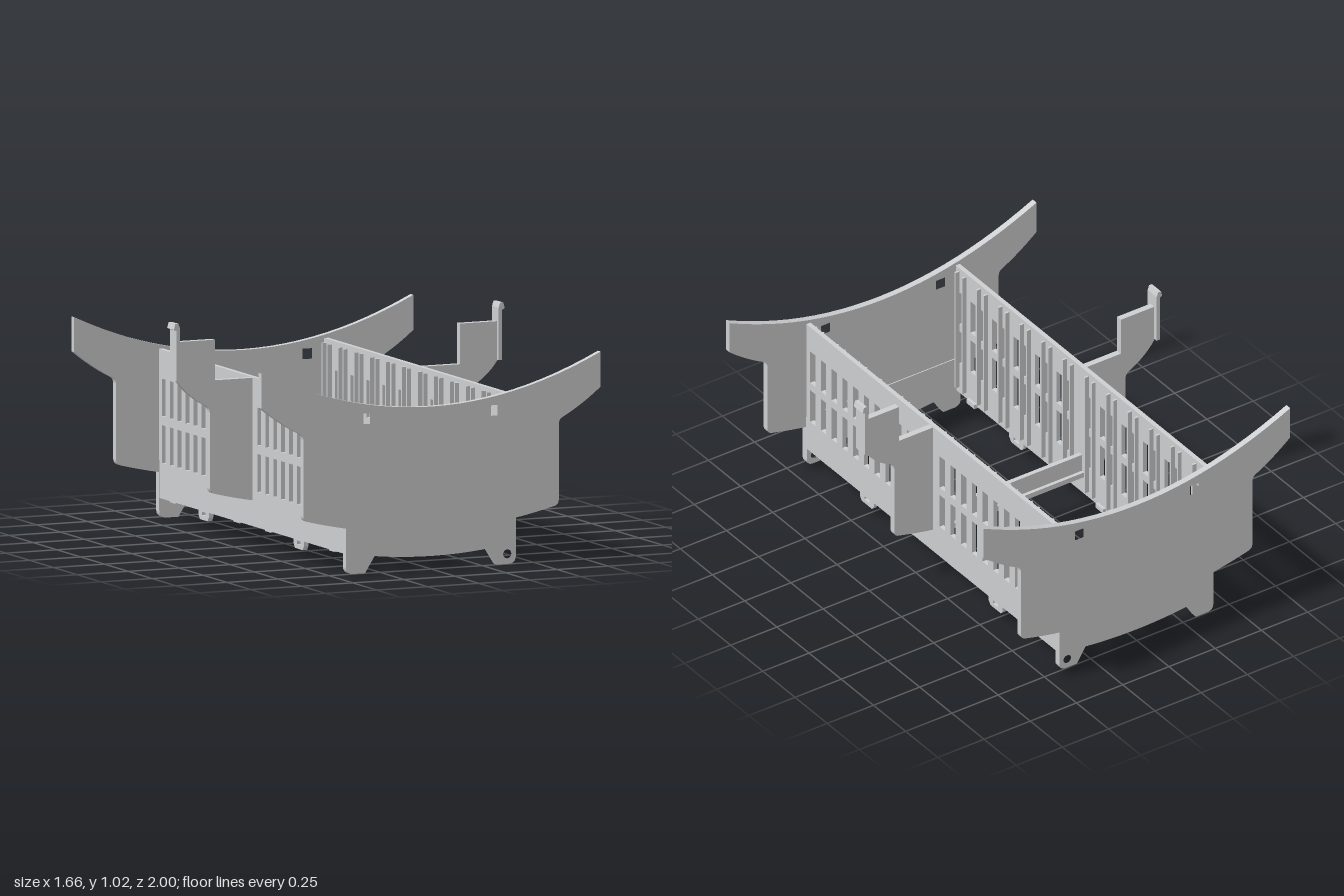
import * as THREE from 'three';

const grey = new THREE.MeshStandardMaterial({ color: 0xcdced0 });
grey.name = 'light grey plastic';

const V = (x, y) => new THREE.Vector2(x, y);

function add(parent, name, geometry, x = 0, y = 0, z = 0) {
  const mesh = new THREE.Mesh(geometry, grey);
  mesh.name = name;
  mesh.position.set(x, y, z);
  parent.add(mesh);
  return mesh;
}

function box(parent, name, x0, x1, y0, y1, z0, z1) {
  return add(parent, name, new THREE.BoxGeometry(x1 - x0, y1 - y0, z1 - z0),
    (x0 + x1) / 2, (y0 + y1) / 2, (z0 + z1) / 2);
}

const extrude = (shape, depth) =>
  new THREE.ExtrudeGeometry(shape, { depth, bevelEnabled: false, curveSegments: 12 });

// closed shape from a right-hand half outline running from centre top to centre bottom
function mirrored(path) {
  const half = path.getPoints(12);
  const other = half.slice(1, -1).reverse().map((p) => V(-p.x, p.y));
  return new THREE.Shape([...half, ...other]);
}

function rectHole(x0, x1, y0, y1) {
  return new THREE.Path([V(x0, y0), V(x0, y1), V(x1, y1), V(x1, y0)]);
}

// flared outer edge shared by the end plates and the middle fins
function flaredEdge(path) {
  path.quadraticCurveTo(0.735, 0.69, 0.643, 0.643);
  path.quadraticCurveTo(0.625, 0.633, 0.625, 0.61);
  path.lineTo(0.625, 0.275);
  path.quadraticCurveTo(0.625, 0.253, 0.605, 0.247);
}

function endPlateShape() {
  const p = new THREE.Path();
  p.moveTo(0, 0.728);
  p.quadraticCurveTo(0.415, 0.728, 0.83, 0.925);
  p.lineTo(0.83, 0.768);
  flaredEdge(p);
  p.quadraticCurveTo(0.3, 0.168, 0, 0.168);
  const s = mirrored(p);
  for (const x of [-0.311, 0.311]) s.holes.push(rectHole(x - 0.024, x + 0.024, 0.669, 0.716));
  return s;
}

function footPlateShape() {
  const p = new THREE.Path();
  p.moveTo(0, 0.26);
  p.lineTo(0.416, 0.26);
  p.lineTo(0.416, 0.035);
  p.quadraticCurveTo(0.416, 0, 0.38, 0);
  p.lineTo(0.322, 0);
  p.lineTo(0.275, 0.074);
  p.quadraticCurveTo(0.14, 0.058, 0, 0.058);
  const s = mirrored(p);
  s.holes.push(new THREE.Path().absarc(0.374, 0.045, 0.02, 0, Math.PI * 2, true));
  return s;
}

// side wall with two rows of vent slots, drawn as z across and y up
function wallGeometry() {
  const s = new THREE.Shape([V(-0.975, 0.09), V(0.975, 0.09), V(0.975, 0.758), V(-0.975, 0.758)]);
  for (let i = 0; i < 11; i++) {
    for (const side of [-1, 1]) {
      const z = side * (0.085 + i * 0.0835);
      s.holes.push(rectHole(z - 0.02, z + 0.02, 0.25, 0.42));
      s.holes.push(rectHole(z - 0.02, z + 0.02, 0.46, 0.628));
    }
  }
  return extrude(s, 0.022).rotateY(-Math.PI / 2);
}

function tabGeometry() {
  const s = new THREE.Shape([V(-0.055, 0.09), V(-0.055, 0.07), V(-0.04, 0.05),
    V(0.04, 0.05), V(0.055, 0.07), V(0.055, 0.09)]);
  s.holes.push(rectHole(-0.02, 0.02, 0.07, 0.086));
  return extrude(s, 0.022).rotateY(-Math.PI / 2);
}

function finShape() {
  const s = new THREE.Shape();
  s.moveTo(0.41, 0.755);
  s.lineTo(0.6, 0.755);
  s.lineTo(0.6, 0.937);
  s.lineTo(0.785, 0.937);
  s.lineTo(0.785, 0.765);
  flaredEdge(s);
  s.quadraticCurveTo(0.5, 0.22, 0.41, 0.205);
  return s;
}

// one long side: wall, divider ribs, tabs, middle fin and clip
function buildSide(name) {
  const side = new THREE.Group();
  side.name = name;
  add(side, 'slottedWall', wallGeometry(), 0.415);
  for (let i = 0; i < 6; i++) {
    for (const s of [-1, 1]) {
      const z = s * (0.085 + i * 0.167);
      for (const d of [-0.027, 0.027]) {
        box(side, 'dividerRib', 0.373, 0.395, 0.12, 0.74, z + d - 0.005, z + d + 0.005);
      }
    }
  }
  for (const z of [-0.5, 0.5]) add(side, 'bottomTab', tabGeometry(), 0.415, 0, z);
  for (const z of [-0.835, -0.165, 0.165, 0.835]) {
    box(side, 'bottomLug', 0.378, 0.41, 0.083, 0.105, z - 0.03, z + 0.03);
  }
  add(side, 'middleFin', extrude(finShape(), 0.03), 0, 0, -0.015);
  const clip = new THREE.Shape([V(0.78, 0.765), V(0.797, 0.765), V(0.797, 0.99),
    V(0.81, 0.996), V(0.803, 1.022), V(0.787, 1.022), V(0.78, 1.0)]);
  add(side, 'clip', extrude(clip, 0.07), 0, 0, -0.035);
  return side;
}

export function createModel() {
  const model = new THREE.Group();
  model.name = 'slottedTray';

  // end plates with their feet
  for (const s of [-1, 1]) {
    const end = new THREE.Group();
    end.name = s > 0 ? 'frontEnd' : 'backEnd';
    add(end, 'endPlate', extrude(endPlateShape(), 0.03), 0, 0, s > 0 ? 0.97 : -1);
    add(end, 'footPlate', extrude(footPlateShape(), 0.032), 0, 0, s > 0 ? 0.965 : -0.997);
    model.add(end);
  }

  // the right side is the left side turned half way round
  model.add(buildSide('leftSide'));
  const right = buildSide('rightSide');
  right.rotation.y = Math.PI;
  model.add(right);

  // low crossbar with a round boss
  const bar = new THREE.Group();
  bar.name = 'crossbar';
  box(bar, 'crossbarFlange', -0.395, 0.395, 0.18, 0.205, -0.028, 0.028);
  box(bar, 'crossbarWeb', -0.395, 0.395, 0.205, 0.29, -0.011, 0.011);
  add(bar, 'centreBoss', new THREE.CylinderGeometry(0.064, 0.064, 0.03, 32), 0, 0.193, 0);
  model.add(bar);
  return model;
}
